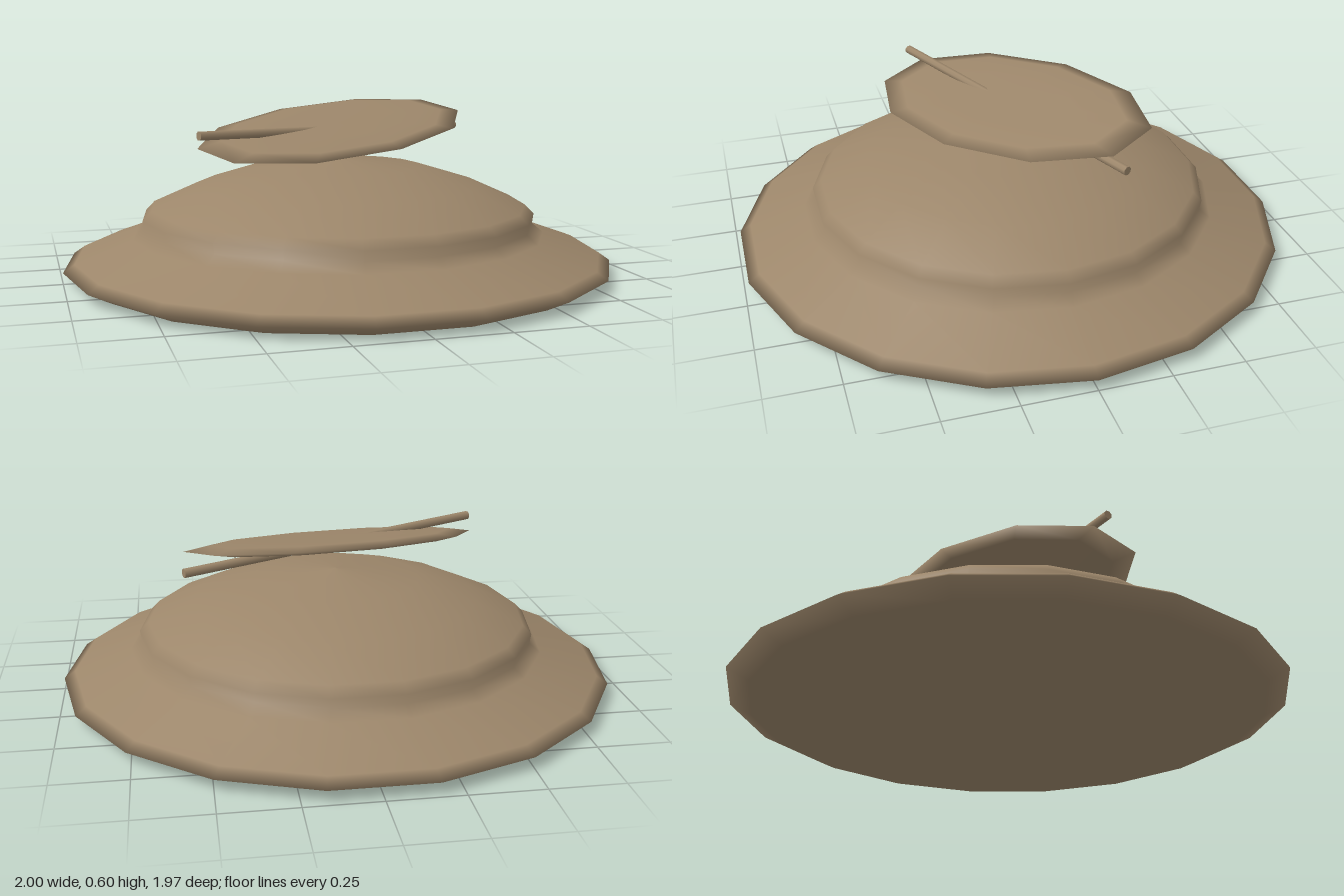
import * as THREE from 'three';

const lathe = (profile, sides, start = 0) =>
  new THREE.LatheGeometry(profile.map(([r, y]) => new THREE.Vector2(r, y)), sides, start);

export function createModel() {
  const group = new THREE.Group();
  const clay = new THREE.MeshStandardMaterial({ color: 0x9c866a });
  clay.name = 'clay brown';

  const add = (name, geometry) => {
    const mesh = new THREE.Mesh(geometry, clay);
    mesh.name = name;
    group.add(mesh);
    return mesh;
  };

  // Eighteen-sided base: sloping flange, waist and low dome
  add('domedBase', lathe([
    [0, 0], [0.92, 0], [1, 0.04], [0.96, 0.068], [0.755, 0.142], [0.715, 0.175],
    [0.72, 0.21], [0.688, 0.243], [0.52, 0.318], [0.305, 0.384], [0, 0.417],
  ], 18, Math.PI / 2));

  // Ten-sided thin oval plate, stretched diagonally and tilted down to the front
  const plate = lathe([
    [0, -0.02], [0.5, -0.019], [0.84, -0.014], [1, 0],
    [0.84, 0.014], [0.5, 0.019], [0, 0.02],
  ], 10);
  plate.applyMatrix4(new THREE.Matrix4().makeBasis(
    new THREE.Vector3(-0.52, -0.015, 0.077),
    new THREE.Vector3(0, 1, 0.19),
    new THREE.Vector3(0.19, 0.075, -0.395),
  ));
  add('ovalPlate', plate).position.y = 0.521;

  // Thin rod running right through the plate
  const from = new THREE.Vector3(-0.555, 0.532, 0.245);
  const to = new THREE.Vector3(0.555, 0.497, -0.245);
  const axis = to.clone().sub(from);
  const rod = add('rod', new THREE.CylinderGeometry(0.016, 0.016, axis.length(), 8));
  rod.position.copy(from).add(to).multiplyScalar(0.5);
  rod.quaternion.setFromUnitVectors(new THREE.Vector3(0, 1, 0), axis.normalize());

  return group;
}
